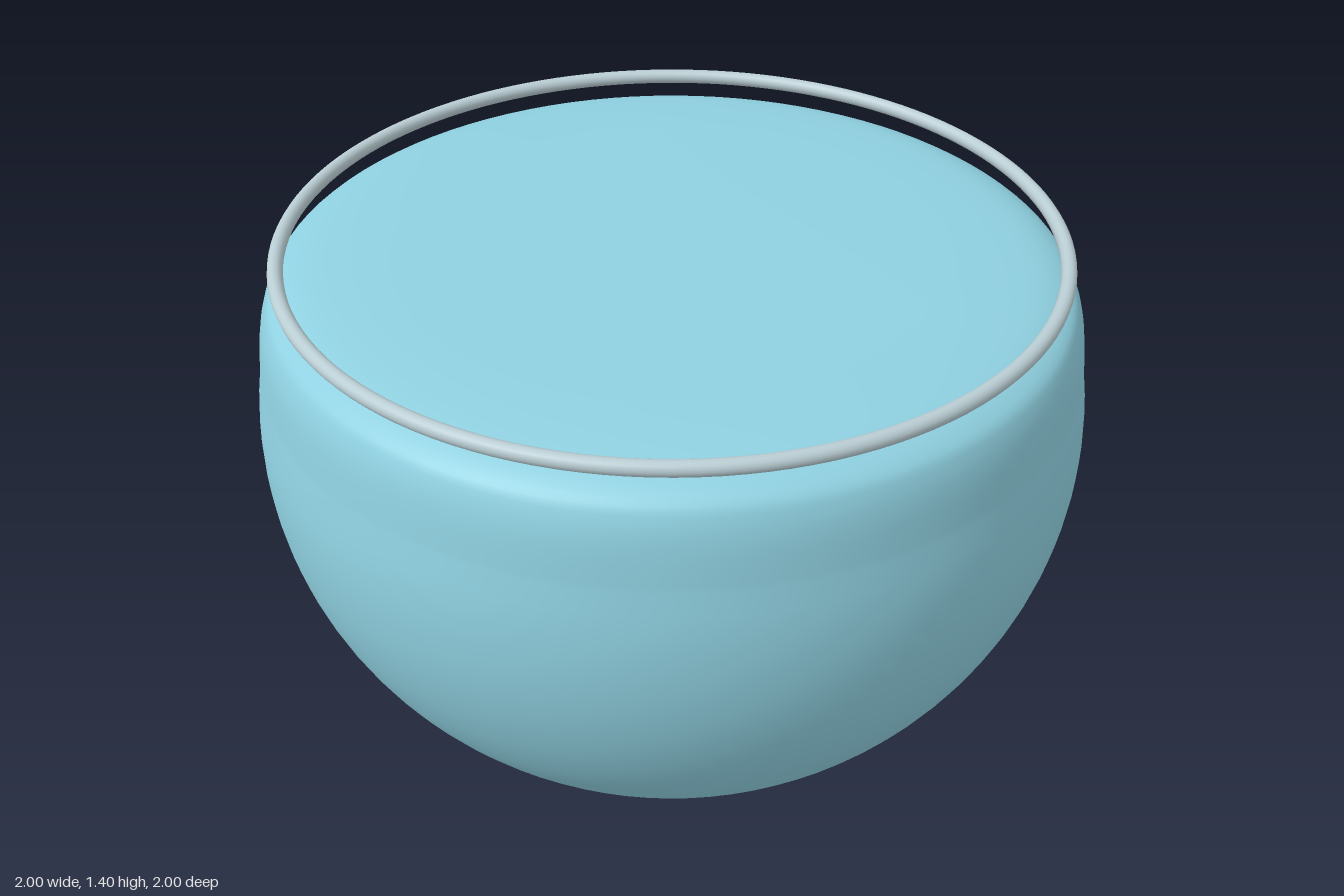
import * as THREE from 'three';

export function createModel() {
  const group = new THREE.Group();
  const bowlBlue = new THREE.MeshStandardMaterial({ color: 0x8fd0e0 });
  const rimGrey = new THREE.MeshStandardMaterial({ color: 0xb9cdd3 });

  const add = (name, geometry, material) => {
    const mesh = new THREE.Mesh(geometry, material);
    mesh.name = name;
    group.add(mesh);
    return mesh;
  };

  // Round wall: an ellipse widest at y = 0.93, cut off flat at the foot
  const profile = [];
  const start = -Math.acos(0.265);
  const end = Math.asin(0.2);
  for (let i = 0; i <= 28; i++) {
    const a = start + (end - start) * i / 28;
    profile.push(new THREE.Vector2(Math.cos(a), 0.93 + 0.965 * Math.sin(a)));
  }
  profile[0].y = 0;

  // Shoulder turning softly into the nearly flat top
  const shoulder = new THREE.SplineCurve([
    profile[profile.length - 1],
    new THREE.Vector2(0.967, 1.22),
    new THREE.Vector2(0.95, 1.28),
    new THREE.Vector2(0.925, 1.315),
    new THREE.Vector2(0.86, 1.343),
    new THREE.Vector2(0.76, 1.356),
    new THREE.Vector2(0.64, 1.362),
  ]);
  profile.push(...shoulder.getPoints(24).slice(1), new THREE.Vector2(0, 1.362));
  add('bowl', new THREE.LatheGeometry(profile, 96), bowlBlue);

  // Shallow hollow foot
  const foot = [[0, 0.012], [0.235, 0.012], [0.245, 0.004], [0.265, 0]];
  for (let i = 0; i < foot.length - 1; i++) {
    const points = [foot[i], foot[i + 1]].map(([x, y]) => new THREE.Vector2(x, y));
    add('foot', new THREE.LatheGeometry(points, 96), bowlBlue);
  }

  // Thin rim hovering just above the shoulder
  const rim = add('rim', new THREE.TorusGeometry(0.91, 0.018, 16, 128), rimGrey);
  rim.rotation.x = Math.PI / 2;
  rim.position.y = 1.382;

  return group;
}
